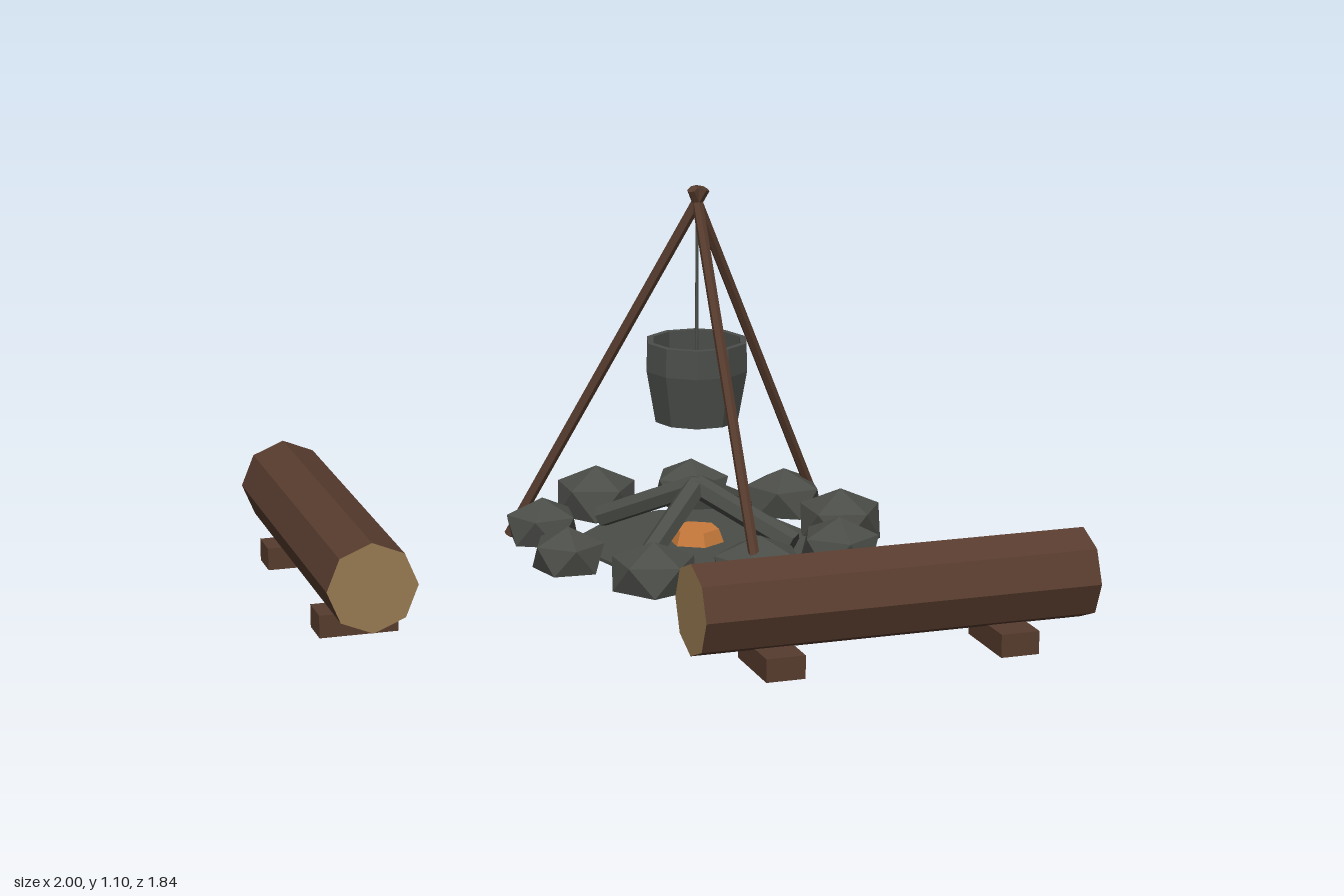
import * as THREE from 'three';

export function createModel() {
  const root = new THREE.Group();
  root.name = 'campfire';
  const mat = (name, color, extra = {}) => {
    const m = new THREE.MeshStandardMaterial({ color, flatShading: true, ...extra });
    m.name = name;
    return m;
  };
  const bark = mat('bark', 0x573c2e);
  const cutWood = mat('cut wood', 0x987b52);
  const stoneGrey = mat('stone grey', 0x4b4d48);
  const iron = mat('iron', 0x4b4e4a, { side: THREE.DoubleSide });
  const ember = mat('ember orange', 0xc87a3c);

  const add = (parent, name, geometry, material, x = 0, y = 0, z = 0) => {
    const mesh = new THREE.Mesh(geometry, material);
    mesh.name = name;
    mesh.position.set(x, y, z);
    parent.add(mesh);
    return mesh;
  };
  // straight pole between two points
  const pole = (parent, name, a, b, radius, sides, material) => {
    const dir = b.clone().sub(a);
    const mesh = add(parent, name, new THREE.CylinderGeometry(radius, radius, dir.length(), sides), material);
    mesh.position.copy(a).add(b).multiplyScalar(0.5);
    mesh.quaternion.setFromUnitVectors(new THREE.Vector3(0, 1, 0), dir.normalize());
  };

  // log seats: an octagonal trunk on two blocks
  const logSeat = (name, x, z, turn) => {
    const seat = new THREE.Group();
    seat.name = name;
    seat.position.set(x, 0, z);
    seat.rotation.y = turn;
    const trunk = new THREE.CylinderGeometry(0.127, 0.127, 1.125, 8).rotateZ(Math.PI / 2);
    add(seat, 'trunk', trunk, [bark, cutWood, cutWood], 0, 0.198, 0);
    for (const side of [-1, 1]) {
      add(seat, 'supportBlock', new THREE.BoxGeometry(0.11, 0.065, 0.222), bark, side * 0.335, 0.0475, 0);
    }
    root.add(seat);
  };
  logSeat('frontLogSeat', 0.4375, 0.781, 0);
  logSeat('sideLogSeat', -0.873, -0.227, Math.PI / 2);

  // fire pit
  const pit = new THREE.Group();
  pit.name = 'firePit';
  pit.position.set(0.287, 0, -0.382);
  root.add(pit);
  add(pit, 'ashBed', new THREE.CylinderGeometry(0.347, 0.347, 0.01, 12), stoneGrey, 0, 0.02, 0);
  add(pit, 'embers', new THREE.CylinderGeometry(0.07, 0.085, 0.04, 6), ember, 0, 0.045, 0);
  for (let i = 0; i < 4; i++) {
    const a = Math.PI / 4 + i * Math.PI / 2;
    pole(pit, 'charredLog', new THREE.Vector3(Math.cos(a) * 0.32, 0.058, Math.sin(a) * 0.32),
      new THREE.Vector3(0, 0.195, 0), 0.034, 6, stoneGrey);
  }

  // ring of stones: x, z, radius, height
  const stones = [
    [0.104, -0.797, 0.125, 0.15], [0.42, -0.818, 0.116, 0.14], [0.66, -0.64, 0.118, 0.135],
    [0.73, -0.337, 0.125, 0.145], [0.628, -0.08, 0.116, 0.135], [0.323, 0.075, 0.132, 0.15],
    [0.03, -0.005, 0.125, 0.135], [-0.147, -0.262, 0.106, 0.125], [-0.136, -0.567, 0.108, 0.13],
  ];
  stones.forEach(([x, z, r, h], i) => {
    const geo = new THREE.IcosahedronGeometry(1, 0).rotateZ(-Math.atan(2 / (1 + Math.sqrt(5))));
    const p = geo.attributes.position;
    // flatten the underside, then squash to size
    for (let k = 0; k < p.count; k++) p.setY(k, (Math.max(p.getY(k), -0.4475) + 0.4475) / 1.4475);
    geo.rotateY(i * 2.1).scale(r / 0.9, h, r / 0.9);
    geo.computeVertexNormals();
    add(root, 'ringStone', geo, stoneGrey, x, 0.015, z);
  });

  // tripod: legs cross near the top
  for (let i = 0; i < 3; i++) {
    const a = Math.PI / 2 + i * Math.PI * 2 / 3;
    const at = (r, y) => new THREE.Vector3(Math.cos(a) * r, y, Math.sin(a) * r);
    pole(pit, 'tripodLeg', at(0.575, 0.008), at(-0.022, 1.093), 0.016, 6, bark);
  }

  // hanging pot, open at the top
  const profile = [[0, 0.4], [0.127, 0.4], [0.155, 0.555], [0.153, 0.64], [0.134, 0.64], [0.134, 0.555], [0.112, 0.42], [0, 0.42]]
    .map(([r, y]) => new THREE.Vector2(r, y));
  add(pit, 'pot', new THREE.LatheGeometry(profile, 10).rotateY(Math.PI / 2), iron);
  add(pit, 'potHanger', new THREE.CylinderGeometry(0.005, 0.005, 0.63, 6), iron, 0, 0.735, 0);

  return root;
}
